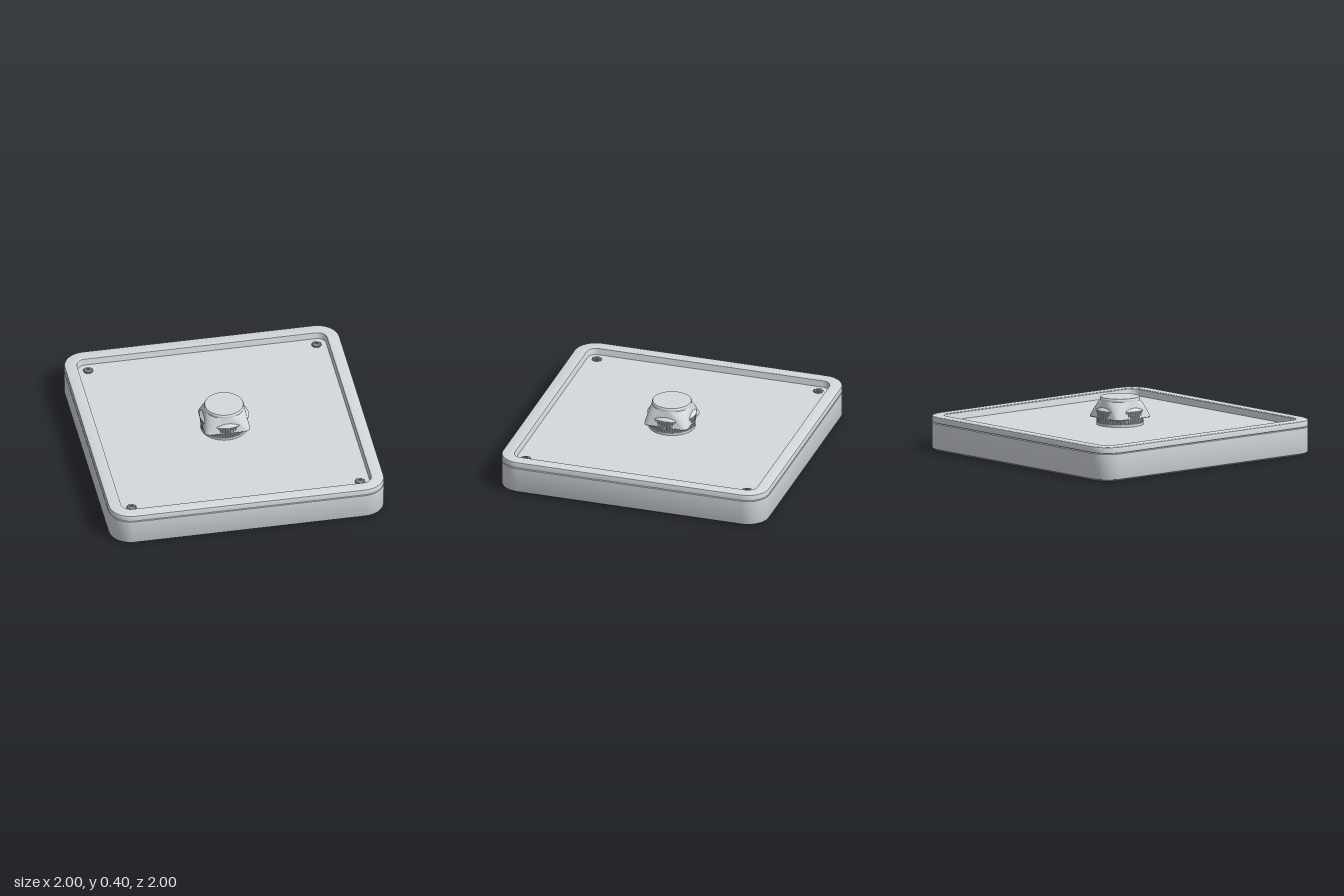
import * as THREE from 'three';
import { toCreasedNormals } from 'three/addons/utils/BufferGeometryUtils.js';

const material = (name, color) => {
  const m = new THREE.MeshStandardMaterial({ color });
  m.name = name;
  return m;
};

// Outline of a rounded square with half side h and corner radius r
function roundedSquare(h, r, y, steps = 10) {
  const points = [];
  for (let c = 0; c < 4; c++) {
    const mid = Math.PI / 4 + (c * Math.PI) / 2;
    const cx = Math.sign(Math.cos(mid)) * (h - r);
    const cz = Math.sign(Math.sin(mid)) * (h - r);
    for (let i = 0; i <= steps; i++) {
      const a = ((c + i / steps) * Math.PI) / 2;
      points.push([cx + r * Math.cos(a), y, cz + r * Math.sin(a)]);
    }
  }
  return points;
}

// Skin through rounded squares given as [half side, radius, y]
function loft(sections, crease = 0.5) {
  const rings = sections.map(([h, r, y]) => roundedSquare(h, r, y));
  const position = [];
  for (let k = 0; k + 1 < rings.length; k++) {
    const low = rings[k], high = rings[k + 1], n = low.length;
    for (let i = 0; i < n; i++) {
      const j = (i + 1) % n;
      position.push(...low[i], ...high[i], ...high[j], ...low[i], ...high[j], ...low[j]);
    }
  }
  const g = new THREE.BufferGeometry();
  g.setAttribute('position', new THREE.Float32BufferAttribute(position, 3));
  g.computeVertexNormals();
  return toCreasedNormals(g, crease);
}

// Plate sections share one corner centre
const plate = (profile) => loft(profile.map(([h, y]) => [h, Math.max(0, h - 0.84), y]));

export function createModel() {
  const model = new THREE.Group();
  const grey = material('light grey', 0xd5d9de);
  const darkGrey = material('dark grey', 0x80878d);
  const floorY = 0.2;

  const add = (name, geometry, mat, parent = model) => {
    const mesh = new THREE.Mesh(geometry, mat);
    mesh.name = name;
    parent.add(mesh);
    return mesh;
  };

  // Dark underside
  add('basePad', plate([[0, 0], [0.978, 0], [0.986, 0.01]]), darkGrey);

  // Lower housing and the raised rim with its recessed panel
  add('housing', plate([[0.986, 0.01], [0.996, 0.014], [1, 0.022], [1, 0.198], [0.988, 0.202]]), grey);
  add('rim', plate([
    [0.988, 0.201], [1, 0.206], [1, 0.238], [0.997, 0.246], [0.988, 0.25],
    [0.916, 0.25], [0.91, 0.246], [0.902, floorY], [0, floorY],
  ]), grey);

  // Socketed screws in the four corners
  const screwProfile = [[0.037, 0], [0.037, 0.004], [0.031, 0.008], [0.016, 0.008], [0.016, 0.002], [0, 0.002]];
  const screw = toCreasedNormals(
    new THREE.LatheGeometry(screwProfile.map(([x, y]) => new THREE.Vector2(x, y)), 8, Math.PI / 8), 0.4);
  for (const sx of [-1, 1]) for (const sz of [-1, 1]) {
    add('cornerScrew', screw, darkGrey).position.set(sx * 0.83, floorY, sz * 0.83);
  }

  // Central knob: square flared skirt blending into a round cap
  const knob = new THREE.Group();
  knob.name = 'knob';
  model.add(knob);
  add('knobCap', loft([
    [0.1, 0.1, 0.253], [0.163, 0.04, 0.253], [0.165, 0.04, 0.258], [0.162, 0.05, 0.275],
    [0.156, 0.07, 0.305], [0.15, 0.1, 0.34], [0.146, 0.13, 0.365], [0.144, 0.144, 0.376],
    [0.144, 0.144, 0.39], [0.138, 0.138, 0.4], [0, 0, 0.4],
  ]), grey, knob);

  // Ribbed collar: every other pair of edges is pulled inwards
  const ribs = 56;
  const collar = new THREE.CylinderGeometry(0.177, 0.166, 0.1, ribs * 4, 1, true).translate(0, 0.26, 0);
  const p = collar.attributes.position;
  for (let i = 0; i < p.count; i++) {
    const s = i % (ribs * 4 + 1);
    const scale = s % 4 < 2 ? 1 : 0.97;
    p.setX(i, p.getX(i) * scale);
    p.setZ(i, p.getZ(i) * scale);
  }
  add('ribbedCollar', toCreasedNormals(collar, 0.4), grey, knob);
  const shoulder = new THREE.CylinderGeometry(0.142, 0.177, 0.03, 64).translate(0, 0.325, 0);
  add('collarShoulder', toCreasedNormals(shoulder, 0.5), grey, knob);

  // Smooth flange where the collar meets the panel
  const flange = new THREE.CylinderGeometry(0.168, 0.168, 0.018, 64).translate(0, floorY + 0.009, 0);
  add('collarFlange', toCreasedNormals(flange, 0.5), grey, knob);

  return model;
}
